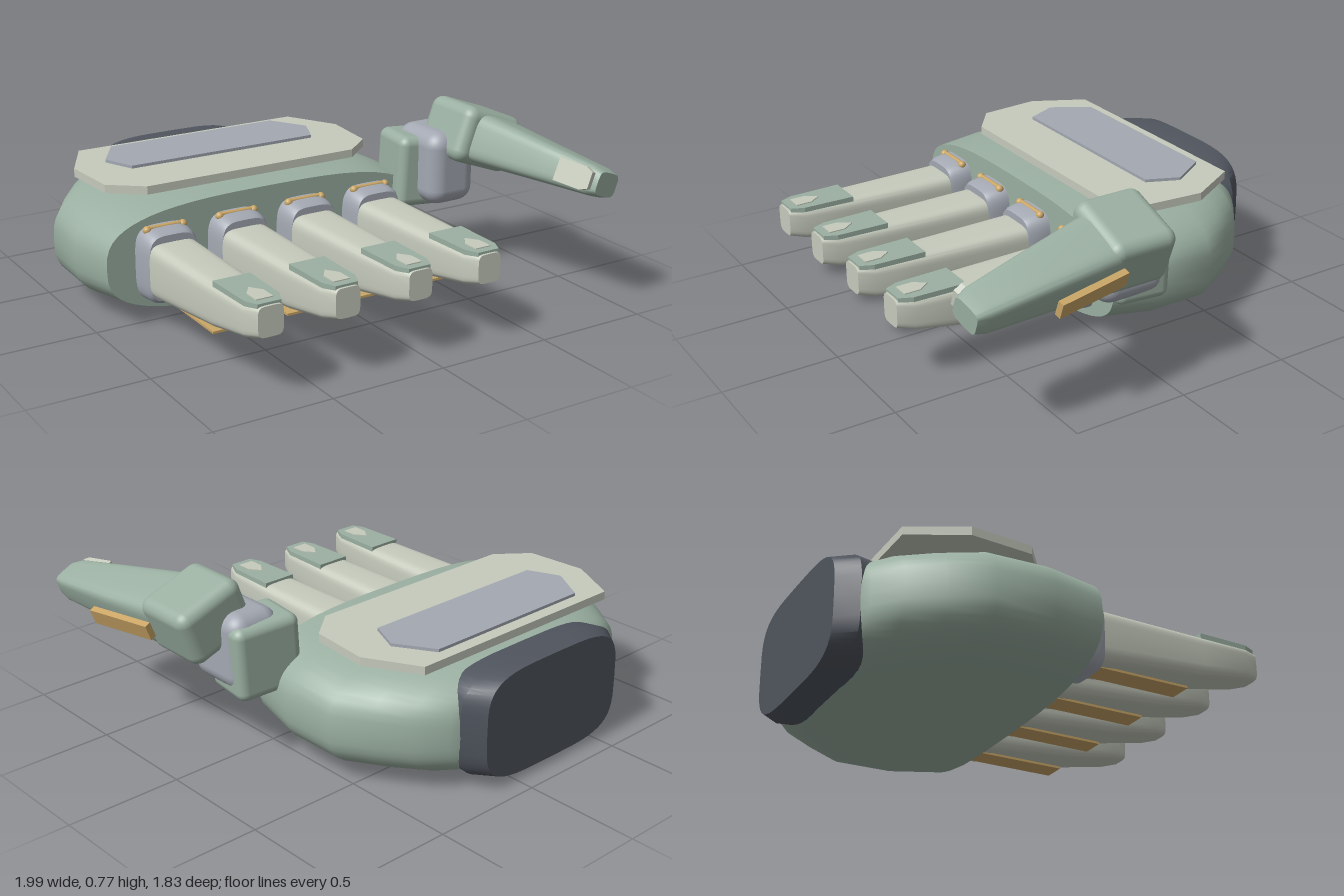
import * as THREE from 'three';
import { toCreasedNormals } from 'three/addons/utils/BufferGeometryUtils.js';
import { RoundedBoxGeometry } from 'three/addons/geometries/RoundedBoxGeometry.js';

const mat = (color, side = THREE.FrontSide) => new THREE.MeshStandardMaterial({ color, side });
const green = mat(0x9bb0a2), cream = mat(0xc6cbbd), grey = mat(0xa3a8b2);
const dark = mat(0x50555e), tan = mat(0xcba767);

function add(parent, name, geometry, material, x = 0, y = 0, z = 0) {
  const mesh = new THREE.Mesh(geometry, material);
  mesh.name = name;
  mesh.position.set(x, y, z);
  parent.add(mesh);
  return mesh;
}

// Closed loft along z through rounded-rectangle sections [z, halfWidth, yLow, yHigh].
function loft(sections, power, sides = 40) {
  const pos = [], index = [];
  const root = (v) => Math.sign(v) * Math.abs(v) ** (2 / power);
  for (const [z, w, low, high] of sections) {
    for (let j = 0; j < sides; j++) {
      const a = (j / sides) * Math.PI * 2;
      pos.push(w * root(Math.cos(a)), (low + high) / 2 + ((high - low) / 2) * root(Math.sin(a)), z);
    }
  }
  const last = sections.length - 1;
  const centre = pos.length / 3;
  for (const s of [sections[0], sections[last]]) pos.push(0, (s[2] + s[3]) / 2, s[0]);
  for (let j = 0; j < sides; j++) {
    const k = (j + 1) % sides;
    for (let i = 0; i < last; i++) {
      const a = i * sides + j, b = i * sides + k;
      index.push(a, b, b + sides, a, b + sides, a + sides);
    }
    index.push(centre, k, j, centre + 1, last * sides + j, last * sides + k);
  }
  const g = new THREE.BufferGeometry();
  g.setAttribute('position', new THREE.Float32BufferAttribute(pos, 3));
  g.setIndex(index);
  return toCreasedNormals(g, 0.7);
}

// Flat plate from an outline of [x, z] points, lying on y = 0.
function plate(points, thickness) {
  const shape = new THREE.Shape(points.map(([x, z]) => new THREE.Vector2(x, -z)));
  return new THREE.ExtrudeGeometry(shape, { depth: thickness, bevelEnabled: false }).rotateX(-Math.PI / 2);
}

function makeFinger(x) {
  const finger = new THREE.Group();
  finger.name = 'finger';
  finger.position.x = x;
  add(finger, 'knuckle', loft([
    [-0.06, 0.125, 0.11, 0.43], [0.03, 0.125, 0.11, 0.43], [0.1, 0.117, 0.115, 0.42], [0.12, 0.108, 0.13, 0.41],
  ], 4), grey);
  add(finger, 'fingerBody', loft([
    [0.05, 0.11, 0.15, 0.38], [0.15, 0.108, 0.15, 0.38], [0.6, 0.093, 0.2, 0.38],
    [0.83, 0.082, 0.243, 0.383], [0.895, 0.054, 0.26, 0.382],
  ], 5), cream);
  add(finger, 'fingertipPlate', plate([
    [-0.08, 0.6], [0.08, 0.6], [0.074, 0.83], [0.05, 0.885], [-0.05, 0.885], [-0.074, 0.83],
  ], 0.035), green, 0, 0.357, 0);
  add(finger, 'nail', plate([
    [0, 0.73], [0.036, 0.78], [0.036, 0.85], [-0.036, 0.85], [-0.036, 0.78],
  ], 0.006), cream, 0, 0.39, 0);
  // Knuckle pin with a rivet at each end
  add(finger, 'knucklePin', new THREE.CylinderGeometry(0.01, 0.01, 0.17, 12).rotateZ(Math.PI / 2), tan, 0, 0.424, 0.045);
  for (const side of [-1, 1]) {
    add(finger, 'rivet', new THREE.SphereGeometry(0.018, 16, 10), tan, side * 0.08, 0.418, 0.045);
  }
  add(finger, 'tendonStrip', new THREE.BoxGeometry(0.1, 0.01, 0.46), tan, 0, 0.151, 0.31);
  return finger;
}

function makeThumb() {
  const thumb = new THREE.Group();
  thumb.name = 'thumb';
  const base = add(thumb, 'thumbBase', new RoundedBoxGeometry(0.3, 0.32, 0.24, 4, 0.04), green, 0.59, 0.455, -0.015);
  base.rotation.set(0, -0.12, -0.05);
  add(thumb, 'thumbJoint', new RoundedBoxGeometry(0.24, 0.33, 0.31, 4, 0.07), grey, 0.632, 0.485, 0.055);

  // Thumb rolled inward so its nail faces the fingers
  const knuckle = add(thumb, 'thumbKnuckle', new RoundedBoxGeometry(0.25, 0.32, 0.3, 4, 0.05), green, 0.757, 0.613, 0.145);
  knuckle.rotation.z = 1.22;
  const tip = new THREE.Group();
  tip.name = 'thumbSegment';
  tip.position.set(0.75, 0.615, 0.12);
  tip.rotation.set(0.06, 0.15, 1.22, 'YXZ');
  add(tip, 'thumbBody', loft([
    [0.02, 0.11, -0.148, 0.13], [0.18, 0.108, -0.145, 0.125], [0.5, 0.082, -0.115, 0.098],
    [0.74, 0.064, -0.09, 0.074], [0.79, 0.05, -0.075, 0.055],
  ], 4.5), green);
  const nail = add(tip, 'thumbNail', plate([
    [-0.05, -0.08], [0.05, -0.08], [0.05, 0.05], [0.035, 0.085], [-0.035, 0.085], [-0.05, 0.05],
  ], 0.025), cream, 0, 0.07, 0.685);
  nail.rotation.x = 0.1;
  add(tip, 'thumbStrip', new THREE.BoxGeometry(0.07, 0.028, 0.33), tan, 0, -0.16, 0.31);
  thumb.add(tip);
  return thumb;
}

export function createModel() {
  const hand = new THREE.Group();
  hand.name = 'mechanicalHand';

  // Palm and wrist
  add(hand, 'palm', loft([
    [-0.85, 0.44, 0.06, 0.46], [-0.82, 0.49, 0.045, 0.475], [-0.73, 0.605, 0.03, 0.492], [-0.6, 0.695, 0.015, 0.505],
    [-0.45, 0.785, 0.005, 0.512], [-0.2, 0.795, 0.012, 0.512], [0.02, 0.75, 0.038, 0.502],
  ], 3, 56), green, -0.2);
  add(hand, 'wristCuff', loft([
    [-0.92, 0.385, 0.035, 0.507], [-0.84, 0.455, 0.032, 0.51], [-0.74, 0.45, 0.04, 0.495],
  ], 4, 48), dark, -0.2);

  // Layered armour on the back of the hand
  add(hand, 'backPlate', plate([
    [-0.74, -0.72], [0.33, -0.72], [0.455, -0.49], [0.43, -0.22], [0.3, -0.11],
    [-0.7, -0.11], [-0.84, -0.22], [-0.86, -0.49],
  ], 0.036), cream, 0, 0.51, 0);
  add(hand, 'backInset', plate([
    [-0.61, -0.665], [0.2, -0.665], [0.3, -0.5], [0.24, -0.36], [-0.65, -0.36], [-0.71, -0.5],
  ], 0.016), grey, 0, 0.543, 0);

  for (let i = 0; i < 4; i++) hand.add(makeFinger(-0.7 + i * 0.33));
  hand.add(makeThumb());
  return hand;
}
